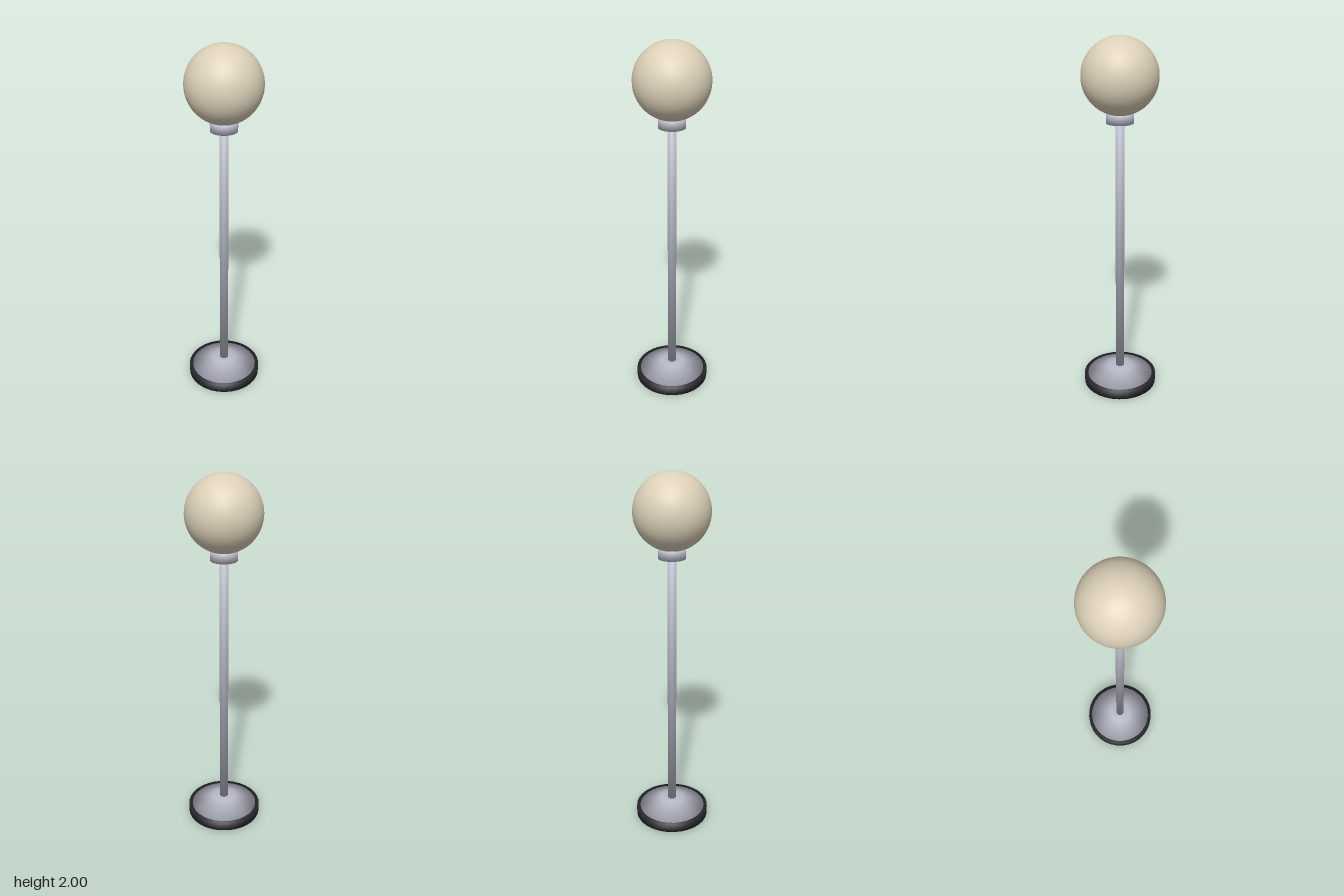
import * as THREE from 'three';

const material = (name, color) => {
  const m = new THREE.MeshStandardMaterial({ color });
  m.name = name;
  return m;
};

// Average the normals of coincident vertices so rims shade softly
function softenRims(geo) {
  const pos = geo.attributes.position, nor = geo.attributes.normal;
  const sums = new Map(), n = new THREE.Vector3();
  const key = i => [pos.getX(i), pos.getY(i), pos.getZ(i)].map(v => Math.round(v * 1e5)).join();
  for (let i = 0; i < pos.count; i++) {
    const k = key(i);
    if (!sums.has(k)) sums.set(k, new THREE.Vector3());
    sums.get(k).add(n.fromBufferAttribute(nor, i));
  }
  for (let i = 0; i < pos.count; i++) {
    n.copy(sums.get(key(i))).normalize();
    nor.setXYZ(i, n.x, n.y, n.z);
  }
  return geo;
}

export function createModel() {
  const lamp = new THREE.Group();
  lamp.name = 'globeLamp';
  const darkBase = material('dark base', 0x26262c);
  const metal = material('pale metal', 0xb8bac8);
  const glass = material('cream glass', 0xdcd0b8);

  // Round part between two heights
  const turned = (name, mat, rBottom, rTop, y0, y1, sides = 32) => {
    const geo = softenRims(new THREE.CylinderGeometry(rTop, rBottom, y1 - y0, sides));
    const mesh = new THREE.Mesh(geo, mat);
    mesh.name = name;
    mesh.position.y = (y0 + y1) / 2;
    lamp.add(mesh);
  };

  turned('base', darkBase, 0.21, 0.21, 0, 0.05);
  turned('baseCover', metal, 0.19, 0.065, 0.05, 0.1);
  turned('pole', metal, 0.024, 0.024, 0.09, 1.57, 16);
  turned('collar', metal, 0.072, 0.072, 1.56, 1.61);

  // Glass globe
  const globe = new THREE.Mesh(new THREE.SphereGeometry(0.2, 48, 32), glass);
  globe.name = 'globe';
  globe.position.y = 1.8;
  lamp.add(globe);

  return lamp;
}
